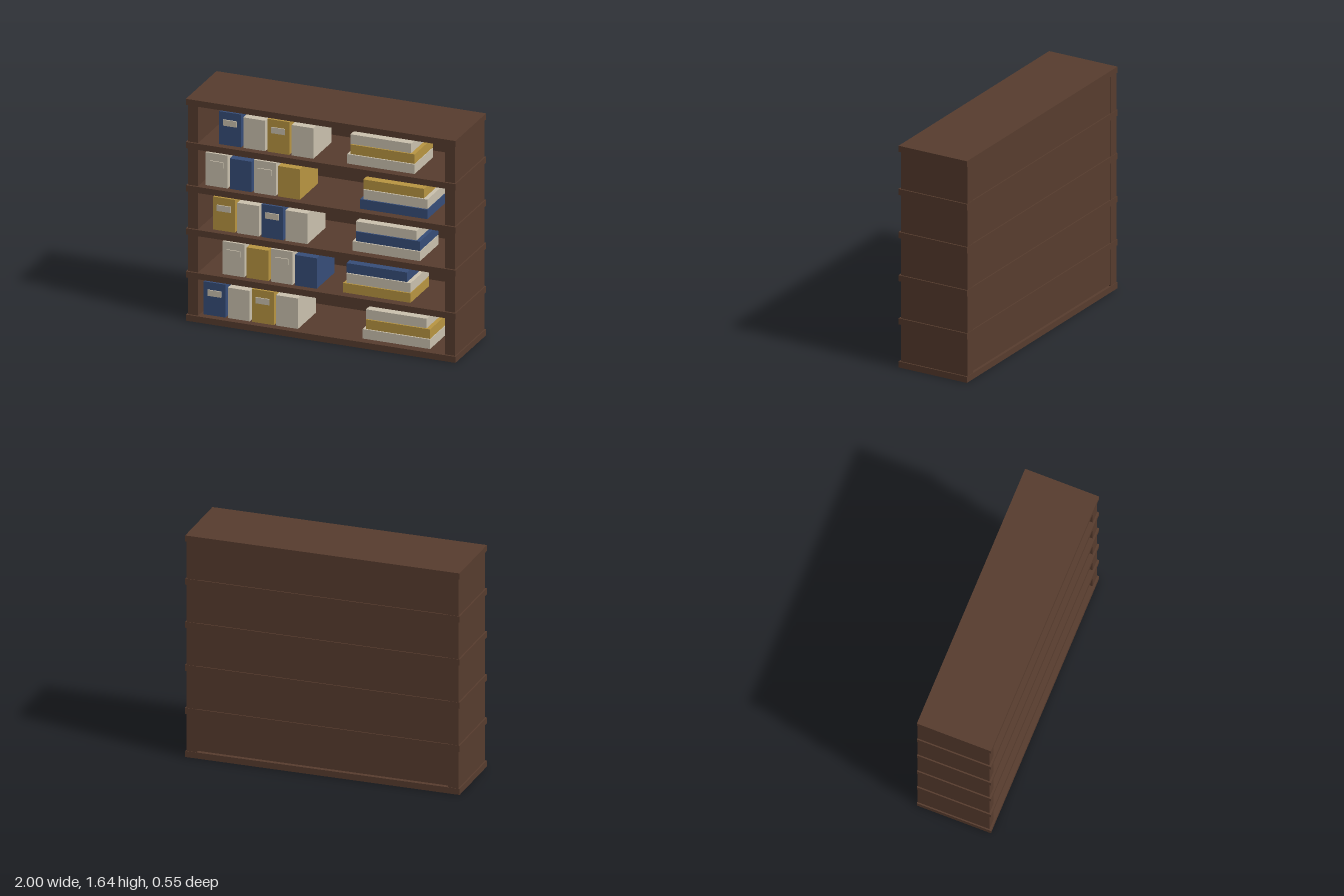
import * as THREE from 'three';

const mat = (name, color) => {
  const m = new THREE.MeshStandardMaterial({ color });
  m.name = name;
  return m;
};

export function createModel() {
  const group = new THREE.Group();
  const wood = mat('dark wood', 0x573c2e);
  const cream = mat('cream cover', 0xcac1ae);
  const ochre = mat('ochre cover', 0xb89541);
  const blue = mat('blue cover', 0x364d78);

  // Box given by its minimum and maximum corners
  const box = (name, material, [x0, y0, z0], [x1, y1, z1], parent = group) => {
    const mesh = new THREE.Mesh(new THREE.BoxGeometry(x1 - x0, y1 - y0, z1 - z0), material);
    mesh.position.set((x0 + x1) / 2, (y0 + y1) / 2, (z0 + z1) / 2);
    mesh.name = name;
    parent.add(mesh);
  };

  const PITCH = 0.319, THICK = 0.045, Z = 0.273;
  const TOP = 5 * PITCH;

  // Bottom shelf: thin board with a rim, hollow underneath
  const RIM = 0.012;
  box('bottomShelf', wood, [-1, THICK - 0.008, -Z], [1, THICK, Z]);
  for (const s of [-1, 1]) {
    const xs = [s, s * (1 - RIM)].sort((a, b) => a - b);
    const zs = [s * Z, s * (Z - RIM)].sort((a, b) => a - b);
    box('bottomSideRim', wood, [xs[0], 0, -Z], [xs[1], THICK - 0.008, Z]);
    box('bottomLongRim', wood, [-1 + RIM, 0, zs[0]], [1 - RIM, THICK - 0.008, zs[1]]);
  }

  // Upper shelves and top board
  for (let i = 1; i <= 5; i++) {
    box(i < 5 ? 'shelf' : 'topBoard', wood, [-1, i * PITCH, -Z], [1, i * PITCH + THICK, Z]);
  }

  // Side panels and back panel
  box('leftSide', wood, [0.915, THICK, -0.27], [0.99, TOP, 0.259]);
  box('rightSide', wood, [-0.99, THICK, -0.27], [-0.915, TOP, 0.259]);
  box('backPanel', wood, [-0.915, 0.055, -0.265], [0.915, TOP, -0.235]);

  // Contents of each row: upright binders, then a stack of flat books
  const rows = [
    { x: -0.89, binders: [blue, cream, ochre, cream], sx: 0.285, stack: [cream, ochre, cream] },
    { x: -0.75, binders: [cream, ochre, cream, blue], sx: 0.14, stack: [ochre, cream, blue] },
    { x: -0.82, binders: [ochre, cream, blue, cream], sx: 0.21, stack: [cream, blue, cream] },
    { x: -0.875, binders: [cream, blue, cream, ochre], sx: 0.265, stack: [blue, cream, ochre] },
    { x: -0.775, binders: [blue, cream, ochre, cream], sx: 0.17, stack: [cream, ochre, cream] },
  ];
  const spans = [[0, 0.5], [0.025, 0.5], [0.025, 0.475]];

  rows.forEach((row, i) => {
    const y = i * PITCH + THICK;
    const binders = new THREE.Group();
    binders.name = 'binderRow';
    row.binders.forEach((m, j) => {
      const x = row.x + j * 0.179;
      const h = j % 2 ? 0.225 : 0.243;
      box('binder', m, [x, y, -0.1], [x + 0.162, y + h, 0.22], binders);
      // Every other binder carries a label plate
      if (j % 2 === 0) {
        box('label', cream, [x + 0.03, y + 0.144, 0.22], [x + 0.132, y + 0.188, 0.228], binders);
      }
    });
    const stack = new THREE.Group();
    stack.name = 'bookStack';
    row.stack.forEach((m, j) => {
      const [a, b] = spans[j];
      const y0 = y + j * 0.075;
      box('flatBook', m, [row.sx + a, y0, -0.12], [row.sx + b, y0 + 0.07, 0.21], stack);
    });
    group.add(binders, stack);
  });

  return group;
}
